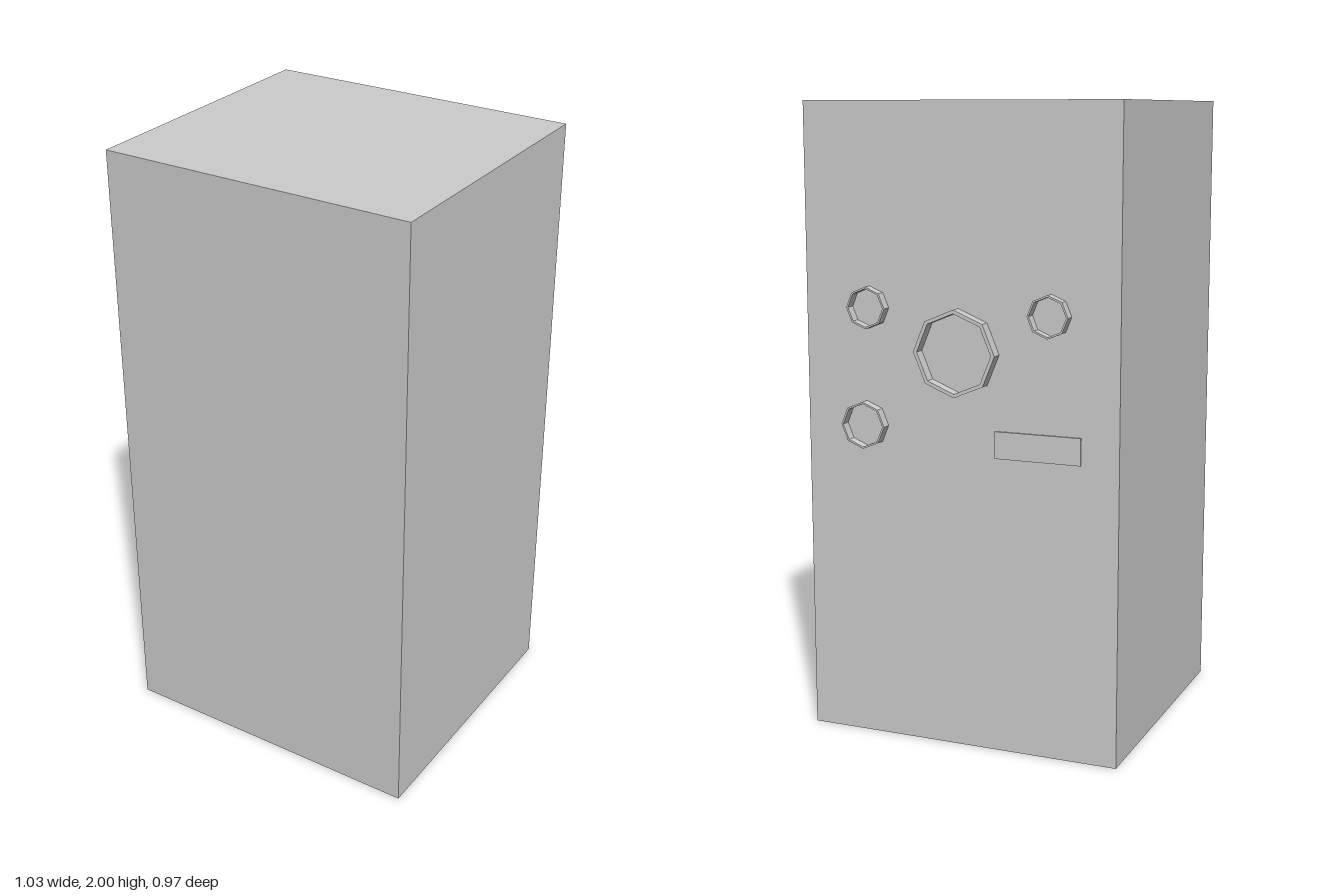
import * as THREE from 'three';

const BACK = -0.449; // z of the rear panel

const material = new THREE.MeshStandardMaterial({ color: 0xcccccc, flatShading: true });

// Box given by its lower and upper corners
function box(name, [x0, y0, z0], [x1, y1, z1]) {
  const mesh = new THREE.Mesh(new THREE.BoxGeometry(x1 - x0, y1 - y0, z1 - z0), material);
  mesh.name = name;
  mesh.position.set((x0 + x1) / 2, (y0 + y1) / 2, (z0 + z1) / 2);
  return mesh;
}

// Octagon with a corner pointing straight up
function octagon(radius, Type) {
  const points = [];
  for (let i = 0; i < 8; i++) {
    const a = (i * Math.PI) / 4;
    points.push(new THREE.Vector2(radius * Math.cos(a), radius * Math.sin(a)));
  }
  return new Type(points);
}

// Thin-walled eight-sided collar standing out from the rear panel
function collar(name, x, y, radius, depth, wall) {
  const shape = octagon(radius, THREE.Shape);
  shape.holes.push(octagon(radius - wall, THREE.Path));
  const geometry = new THREE.ExtrudeGeometry(shape, { depth, bevelEnabled: false });
  const mesh = new THREE.Mesh(geometry, material);
  mesh.name = name;
  mesh.position.set(x, y, BACK - depth);
  return mesh;
}

export function createModel() {
  const model = new THREE.Group();
  model.name = 'cabinet';

  // Plain tall cabinet
  model.add(box('cabinetBody', [-0.517, 0, BACK], [0.517, 2, 0.485]));

  // Large central collar and three small ones around it
  model.add(collar('mainCollar', 0, 1.25, 0.134, 0.037, 0.012));
  model.add(collar('upperLeftCollar', 0.298, 1.375, 0.065, 0.032, 0.006));
  model.add(collar('lowerLeftCollar', 0.313, 1.008, 0.074, 0.032, 0.006));
  model.add(collar('upperRightCollar', -0.3, 1.375, 0.065, 0.032, 0.006));

  // Thin label plate
  model.add(box('labelPlate', [-0.397, 0.933, BACK - 0.006], [-0.12, 1.017, BACK]));

  return model;
}
